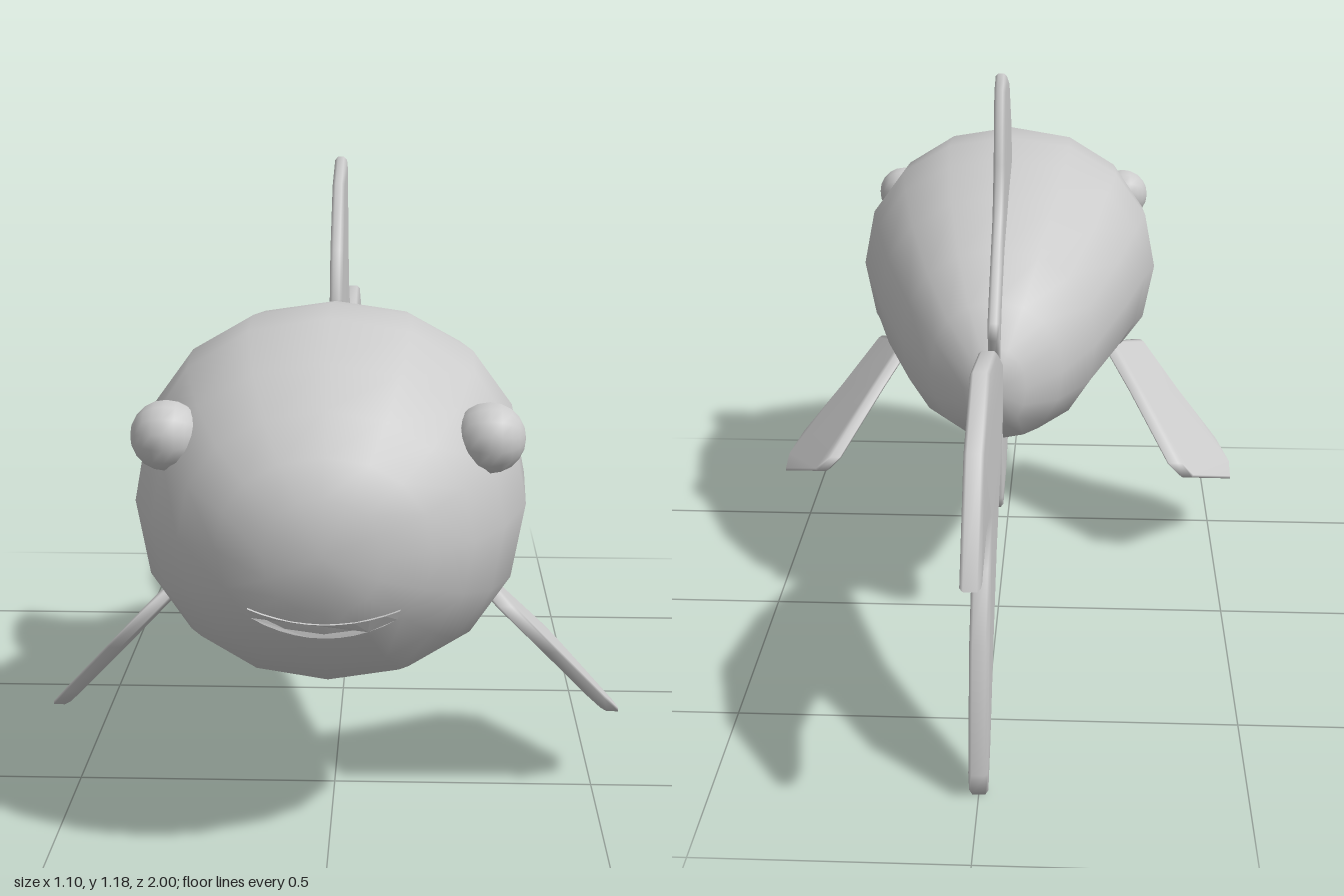
import * as THREE from 'three';
import { mergeVertices } from 'three/addons/utils/BufferGeometryUtils.js';

const material = new THREE.MeshStandardMaterial({ color: 0xcccccc });

function addMesh(group, name, geometry) {
  const mesh = new THREE.Mesh(geometry, material);
  mesh.name = name;
  group.add(mesh);
}

// Weld vertices so the shading runs smoothly over the edges
function smooth(geometry) {
  geometry.deleteAttribute('uv');
  geometry.deleteAttribute('normal');
  const welded = mergeVertices(geometry, 1e-4);
  welded.computeVertexNormals();
  return welded;
}

// Slightly squared elliptical rings along z: [z, bottom, top, halfWidth]
function loft(sections, sides) {
  const positions = [], index = [];
  const soften = v => Math.sign(v) * Math.pow(Math.abs(v), 0.93);
  for (const [z, bottom, top, w] of sections) {
    for (let j = 0; j < sides; j++) {
      const a = (j / sides) * Math.PI * 2;
      positions.push(w * soften(Math.cos(a)),
        (top + bottom) / 2 + (top - bottom) / 2 * soften(Math.sin(a)), z);
    }
  }
  for (let i = 0; i < sections.length - 1; i++) {
    for (let j = 0; j < sides; j++) {
      const k = (j + 1) % sides;
      const a = i * sides + j, b = i * sides + k, c = a + sides, d = b + sides;
      index.push(a, c, b, b, c, d);
    }
  }
  const geometry = new THREE.BufferGeometry();
  geometry.setAttribute('position', new THREE.Float32BufferAttribute(positions, 3));
  geometry.setIndex(index);
  return smooth(geometry);
}

// Thin plate from a [z, y] outline; shift(y, z) slants it sideways
function fin(outline, halfThickness, shift = () => 0) {
  const bevel = 0.006;
  const shape = new THREE.Shape(outline.map(p => new THREE.Vector2(...p)));
  const geometry = new THREE.ExtrudeGeometry(shape, {
    depth: 2 * (halfThickness - bevel), bevelEnabled: true, bevelSegments: 1,
    bevelSize: bevel, bevelOffset: -bevel, bevelThickness: bevel,
  });
  geometry.translate(0, 0, bevel - halfThickness).rotateY(-Math.PI / 2);
  const p = geometry.attributes.position;
  for (let i = 0; i < p.count; i++) p.setX(i, p.getX(i) + shift(p.getY(i), p.getZ(i)));
  return smooth(geometry);
}

// Crescent wrapped onto the rounded snout
function mouthGeometry() {
  const upper = [], lower = [];
  for (let i = 0; i <= 10; i++) {
    const t = i / 5 - 1;
    upper.push(new THREE.Vector2(t * 0.127, 0.488 + 0.022 * t * t));
    lower.unshift(new THREE.Vector2(t * 0.122, 0.459 + 0.034 * t * t));
  }
  const geometry = new THREE.ExtrudeGeometry(new THREE.Shape([...upper, ...lower]),
    { depth: 0.03, bevelEnabled: false });
  const p = geometry.attributes.position;
  for (let i = 0; i < p.count; i++) {
    const x = p.getX(i), dy = p.getY(i) - 0.61;
    p.setZ(i, p.getZ(i) + 0.98 - 1.5 * x * x - 2.2 * dy * dy);
  }
  geometry.computeVertexNormals();
  return geometry;
}

export function createModel() {
  const fish = new THREE.Group();
  fish.name = 'fish';

  addMesh(fish, 'body', loft([
    [1, 0.61, 0.61, 0], [0.985, 0.51, 0.705, 0.1], [0.95, 0.45, 0.765, 0.18],
    [0.89, 0.385, 0.83, 0.25], [0.81, 0.33, 0.895, 0.305], [0.7, 0.292, 0.953, 0.347],
    [0.56, 0.33, 0.957, 0.352], [0.41, 0.385, 0.937, 0.325], [0.22, 0.405, 0.895, 0.28],
    [0.02, 0.41, 0.83, 0.21], [-0.1, 0.445, 0.75, 0.14], [-0.165, 0.495, 0.67, 0.065],
    [-0.19, 0.58, 0.58, 0],
  ], 16));

  addMesh(fish, 'mouth', mouthGeometry());

  addMesh(fish, 'dorsalFin', fin([
    [0.415, 0.9], [0.415, 0.94], [0.38, 1.03], [0.265, 1.145], [0.13, 1.185], [0.067, 1.16],
    [0.035, 1.01], [-0.013, 0.91], [-0.115, 0.825], [-0.22, 0.74], [-0.21, 0.7],
    [-0.18, 0.64], [-0.08, 0.68], [0.1, 0.8],
  ], 0.012));

  addMesh(fish, 'tailFin', fin([
    [-0.15, 0.63], [-0.175, 0.645], [-0.42, 0.75], [-0.685, 0.8], [-0.87, 0.72], [-1, 0.525],
    [-0.957, 0.513], [-0.825, 0.545], [-0.69, 0.53], [-0.635, 0.495], [-0.675, 0.41],
    [-0.755, 0.295], [-0.8, 0.055], [-0.775, 0], [-0.7, 0.06], [-0.555, 0.235],
    [-0.44, 0.35], [-0.175, 0.52], [-0.15, 0.54],
  ], 0.018));

  addMesh(fish, 'analFin', fin([
    [0.175, 0.45], [0.175, 0.4], [0.165, 0.37], [0.065, 0.31], [-0.09, 0.283],
    [-0.12, 0.315], [-0.13, 0.47], [-0.08, 0.52],
  ], 0.015));

  // Paired parts
  for (const [label, side] of [['left', 1], ['right', -1]]) {
    addMesh(fish, label + 'PectoralFin', fin([
      [0.67, 0.42], [0.505, 0.465], [0.41, 0.375], [0.26, 0.25], [0.26, 0.215],
      [0.435, 0.142], [0.505, 0.155], [0.555, 0.2], [0.605, 0.31],
    ], 0.017, (y, z) => side * (0.585 - 0.953 * y + 0.197 * z)));

    const eye = new THREE.SphereGeometry(0.062, 14, 10);
    eye.rotateZ(-side * Math.PI / 2).translate(side * 0.276, 0.765, 0.797);
    addMesh(fish, label + 'Eye', eye);
  }
  return fish;
}
